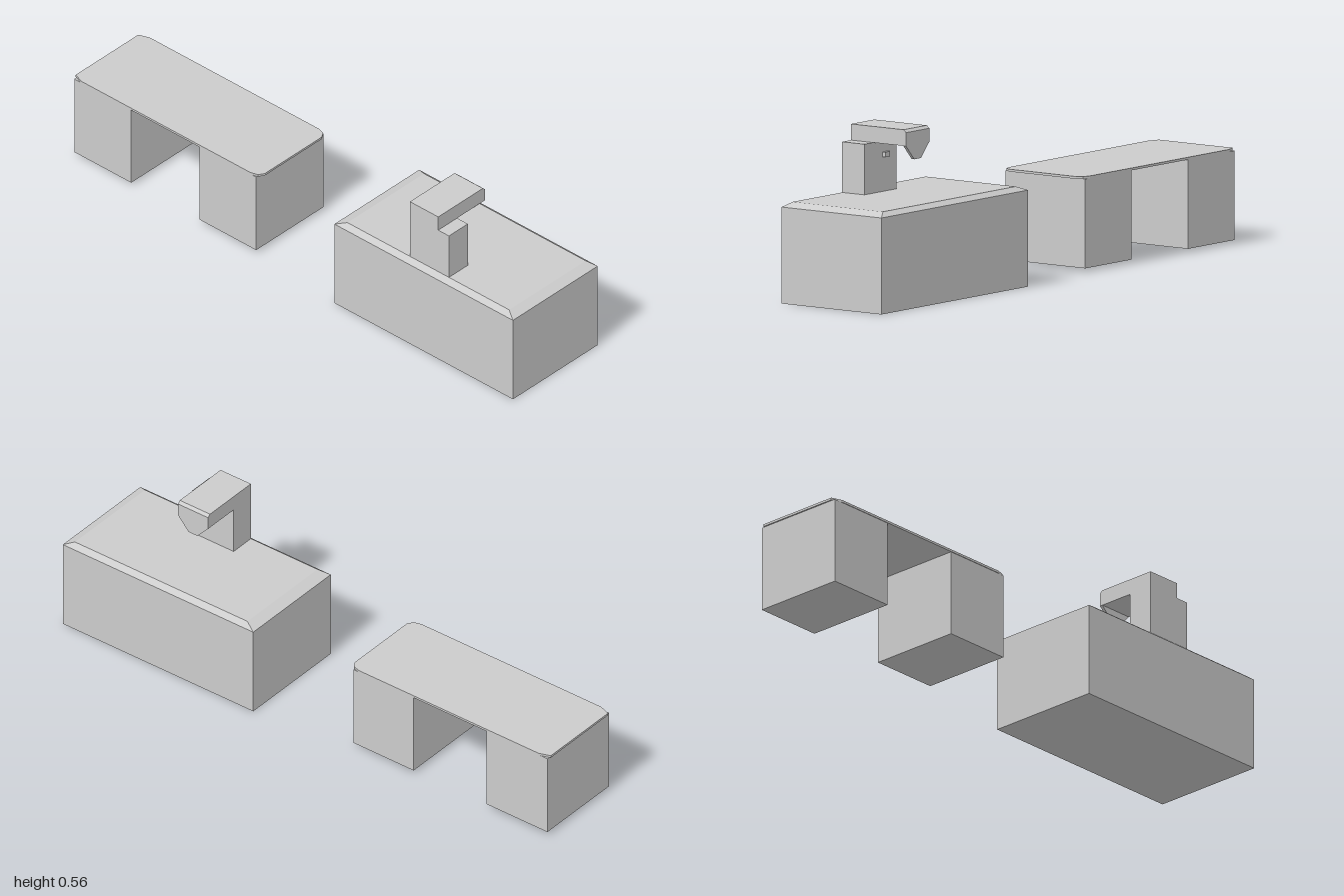
import * as THREE from 'three';

const mat = new THREE.MeshStandardMaterial({ color: 0xcccccc, flatShading: true });

// Box given by its min and max on each axis
function box(name, [x0, x1], [y0, y1], [z0, z1]) {
  const g = new THREE.BoxGeometry(x1 - x0, y1 - y0, z1 - z0);
  g.translate((x0 + x1) / 2, (y0 + y1) / 2, (z0 + z1) / 2);
  const m = new THREE.Mesh(g, mat);
  m.name = name;
  return m;
}

// Extruded outline
function slab(name, points, depth) {
  const shape = new THREE.Shape(points.map(([a, b]) => new THREE.Vector2(a, b)));
  const m = new THREE.Mesh(new THREE.ExtrudeGeometry(shape, { depth, bevelEnabled: false }), mat);
  m.name = name;
  return m;
}

export function createModel() {
  const root = new THREE.Group();
  root.name = 'deskAndCounter';

  // Desk: two pedestals under a thin top with cut corners
  const desk = new THREE.Group();
  desk.name = 'desk';
  for (const [name, x] of [['rightPedestal', [-0.995, -0.74]], ['leftPedestal', [-0.433, -0.18]]]) {
    desk.add(box(name, x, [0.012, 0.31], [-0.155, 0.175]));
  }
  const [x0, x1, z0, z1, cx, cz] = [-1, -0.165, -0.157, 0.177, 0.04, 0.02];
  const top = slab('deskTop', [
    [x0 + cx, -z1], [x1 - cx, -z1], [x1 - cx * 0.3, -z1 + cz * 0.4], [x1, -z1 + cz * 1.4],
    [x1, -z0 - cz * 1.4], [x1 - cx * 0.3, -z0 - cz * 0.4], [x1 - cx, -z0],
    [x0 + cx, -z0], [x0, -z0 - cz * 0.7], [x0, -z1 + cz * 0.7],
  ], 0.008);
  top.rotation.x = -Math.PI / 2;
  top.position.y = 0.31;
  desk.add(top);

  // Counter block with its top edge sloped inward
  const counter = new THREE.Group();
  counter.name = 'counter';
  counter.add(box('counterBody', [0.2, 1], [0, 0.322], [-0.207, 0.207]));
  const rim = box('counterTop', [0.2, 1], [0.322, 0.337], [-0.207, 0.207]);
  const p = rim.geometry.attributes.position;
  for (let i = 0; i < p.count; i++) {
    if (p.getY(i) < 0.33) continue;
    p.setX(i, p.getX(i) < 0.6 ? 0.24 : 0.965);
    p.setZ(i, Math.sign(p.getZ(i)) * 0.187);
  }
  rim.geometry.computeVertexNormals();
  counter.add(rim);

  // Machine: column, overhanging arm, tapered head plate and small knob
  const machine = new THREE.Group();
  machine.name = 'machine';
  machine.add(box('column', [0.52, 0.695], [0.337, 0.506], [0.095, 0.187]));
  const arm = slab('arm', [
    [-0.187, 0.506], [0.041, 0.506], [0.041, 0.551], [0.031, 0.56], [-0.187, 0.56],
  ], 0.127);
  arm.rotation.y = Math.PI / 2;
  arm.position.x = 0.52;
  machine.add(arm);
  const head = slab('headPlate', [
    [0.52, 0.506], [0.565, 0.457], [0.602, 0.457], [0.647, 0.506],
  ], 0.011);
  head.position.z = -0.041;
  machine.add(head);
  machine.add(box('knob', [0.57, 0.597], [0.452, 0.469], [0.083, 0.096]));

  counter.add(machine);
  root.add(desk, counter);
  return root;
}
